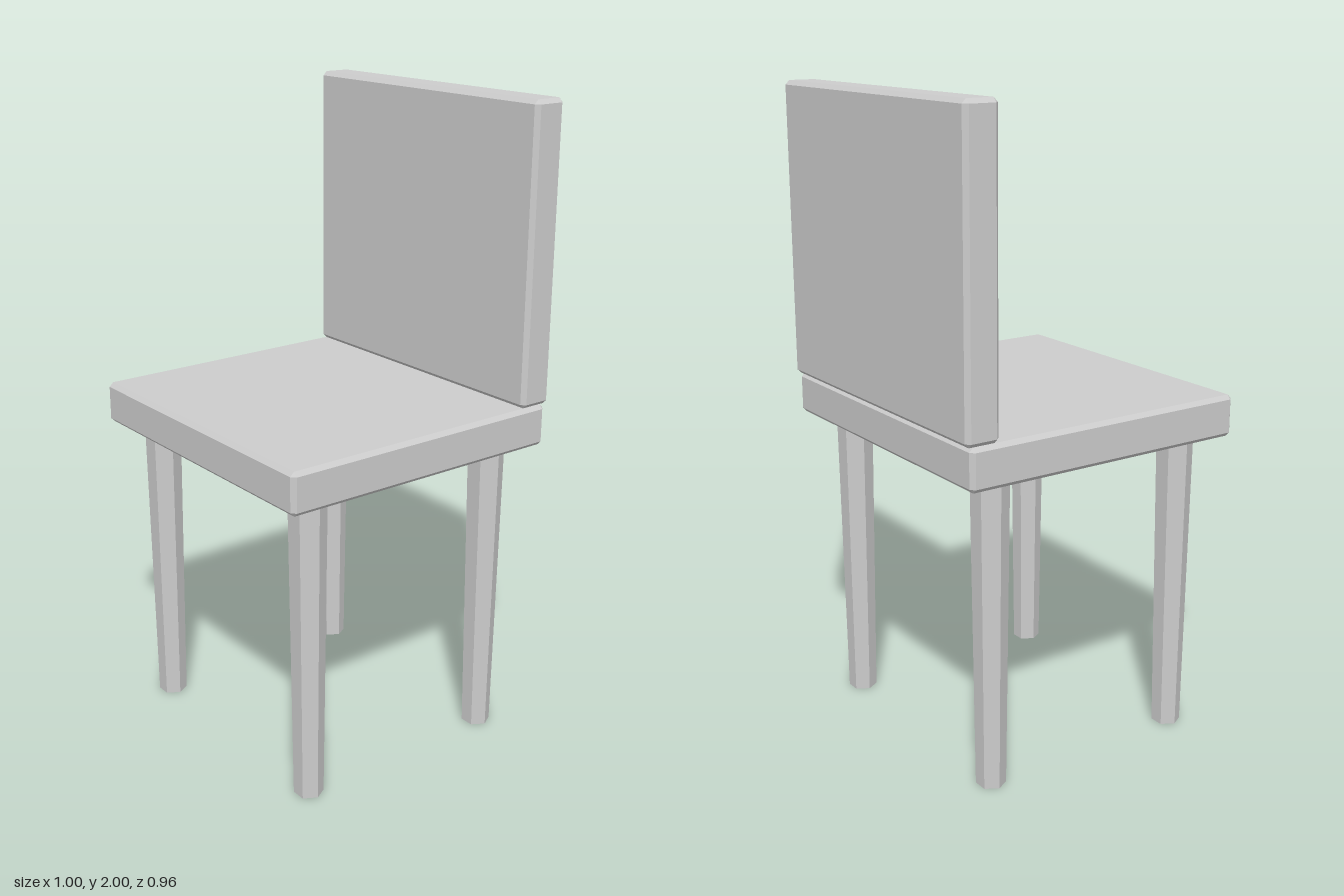
import * as THREE from 'three';
import { ConvexGeometry } from 'three/addons/geometries/ConvexGeometry.js';

// Box with every edge chamfered, given its extents in y and z
function chamferedBox(width, y0, y1, z0, z1, c) {
  const h = [width / 2, (y1 - y0) / 2, (z1 - z0) / 2];
  const points = [];
  for (const sx of [-1, 1]) for (const sy of [-1, 1]) for (const sz of [-1, 1]) {
    for (let axis = 0; axis < 3; axis++) {
      const p = h.map((v, i) => (i === axis ? v : v - c));
      points.push(new THREE.Vector3(sx * p[0], sy * p[1], sz * p[2]));
    }
  }
  return new ConvexGeometry(points).translate(0, (y0 + y1) / 2, (z0 + z1) / 2);
}

export function createModel() {
  const model = new THREE.Group();
  model.name = 'chair';
  const grey = new THREE.MeshStandardMaterial({ color: 0xcccccc });
  grey.name = 'light grey';

  const add = (name, geometry) => {
    const mesh = new THREE.Mesh(geometry, grey);
    mesh.name = name;
    model.add(mesh);
    return mesh;
  };

  // Seat slab and upright back panel
  add('seat', chamferedBox(0.995, 0.96, 1.09, -0.466, 0.48, 0.013));
  add('backrest', chamferedBox(0.995, 1.09, 2, -0.48, -0.371, 0.013));

  // Four tapered six-sided legs, flat-faced towards the front
  const legHeight = 0.965;
  const leg = new THREE.CylinderGeometry(0.057, 0.045, legHeight, 6, 1, false, Math.PI / 6)
    .toNonIndexed();
  leg.computeVertexNormals();
  leg.translate(0, legHeight / 2, 0);
  for (const [side, x] of [['Left', 0.386], ['Right', -0.386]]) {
    for (const [end, z] of [['front', 0.349], ['back', -0.333]]) {
      add(`${end}${side}Leg`, leg).position.set(x, 0, z);
    }
  }
  return model;
}
